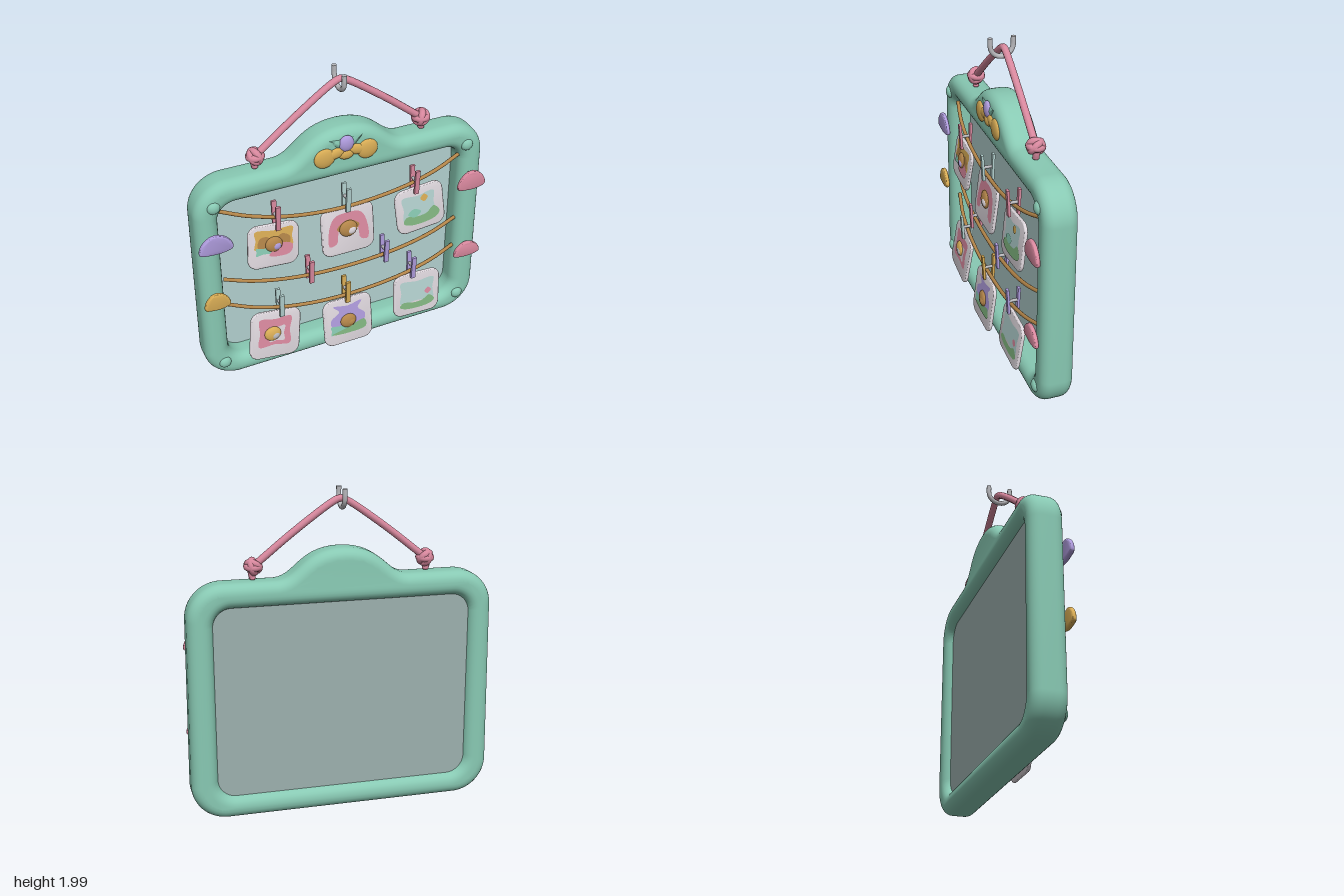
import * as THREE from 'three';
import { toCreasedNormals } from 'three/addons/utils/BufferGeometryUtils.js';

const paint = (name, color) => {
  const m = new THREE.MeshStandardMaterial({ color });
  m.name = name;
  return m;
};
const M = {
  mint: paint('mint', 0x88c9b3), panel: paint('pale aqua', 0xb2d0ce), back: paint('grey aqua', 0x9db0ae),
  pink: paint('pink', 0xd8889e), mustard: paint('mustard', 0xd8ac55), purple: paint('purple', 0xae9bdc),
  brown: paint('brown', 0xb38549), card: paint('card white', 0xdcd5db), metal: paint('metal grey', 0xb8b8bc),
  green: paint('leaf green', 0x80b47f),
};

const v3 = (x, y, z = 0) => new THREE.Vector3(x, y, z);

function add(parent, name, geometry, material, x = 0, y = 0, z = 0) {
  const mesh = new THREE.Mesh(geometry, material);
  mesh.name = name;
  mesh.position.set(x, y, z);
  parent.add(mesh);
  return mesh;
}

function ball(parent, name, material, x, y, z, rx, ry = rx, rz = rx) {
  const mesh = add(parent, name, new THREE.SphereGeometry(1, 24, 16), material, x, y, z);
  mesh.scale.set(rx, ry, rz);
  return mesh;
}

function tube(parent, name, material, points, radius, segments = 48) {
  const path = new THREE.CatmullRomCurve3(points);
  return add(parent, name, new THREE.TubeGeometry(path, segments, radius, 10), material);
}

function roundedRect(target, x0, y0, x1, y1, r) {
  target.moveTo(x0 + r, y0).lineTo(x1 - r, y0);
  target.absarc(x1 - r, y0 + r, r, -Math.PI / 2, 0);
  target.absarc(x1 - r, y1 - r, r, 0, Math.PI / 2);
  target.absarc(x0 + r, y1 - r, r, Math.PI / 2, Math.PI);
  target.absarc(x0 + r, y0 + r, r, Math.PI, Math.PI * 1.5);
  return target;
}

// Closed smooth outline through a few [x, y] points
function blob(points) {
  const curve = new THREE.CatmullRomCurve3(points.map(([x, y]) => v3(x, y)), true);
  return new THREE.Shape(curve.getPoints(40).slice(0, -1).map(p => new THREE.Vector2(p.x, p.y)));
}

// Rounded solid of the outline, centred on z = 0, never larger than the outline
function pillow(shape, thickness, bevel, bevelIn = bevel) {
  const g = new THREE.ExtrudeGeometry(shape, {
    depth: thickness - 2 * bevel, bevelThickness: bevel, bevelSize: bevelIn,
    bevelOffset: -bevelIn, bevelSegments: 6, curveSegments: 14,
  });
  g.translate(0, 0, bevel - thickness / 2);
  return toCreasedNormals(g, 0.7);
}

function buildFrame(root) {
  // Outer outline with a domed crown on the top edge
  const s = new THREE.Shape();
  const r = 0.22;
  s.moveTo(-0.72, 0.015).lineTo(0.72, 0.015);
  s.absarc(0.95 - r, 0.015 + r, r, -Math.PI / 2, 0);
  s.absarc(0.94 - r, 1.48 - r, r, 0, Math.PI / 2);
  s.lineTo(0.4, 1.48);
  s.bezierCurveTo(0.27, 1.49, 0.25, 1.655, 0, 1.657);
  s.bezierCurveTo(-0.25, 1.655, -0.27, 1.49, -0.4, 1.48);
  s.absarc(r - 0.94, 1.48 - r, r, Math.PI / 2, Math.PI);
  s.absarc(r - 0.95, 0.015 + r, r, Math.PI, Math.PI * 1.5);
  s.holes.push(roundedRect(new THREE.Path(), -0.795, 0.155, 0.785, 1.33, 0.11));
  add(root, 'frame', pillow(s, 0.205, 0.065), M.mint, 0, 0, -0.0275);

  // Board, with its own colour on each side
  const board = new THREE.PlaneGeometry(1.62, 1.22);
  add(root, 'boardFront', board, M.panel, 0, 0.745, -0.06);
  add(root, 'boardBack', board, M.back, 0, 0.745, -0.085).rotation.y = Math.PI;

  for (const [x, y] of [[-0.825, 1.34], [0.815, 1.34], [-0.835, 0.15], [0.825, 0.15]])
    ball(root, 'cornerStud', M.mint, x, y, 0.068, 0.04, 0.04, 0.027);

  // Flat-bottomed buttons on the side rails
  const half = [[-0.5, -0.35], [-0.45, 0.1], [-0.15, 0.5], [0.15, 0.48], [0.43, 0.12], [0.5, -0.3], [0.2, -0.47], [-0.2, -0.47]];
  for (const [mat, x, y, w, h] of [
    [M.purple, -0.84, 1.11, 0.205, 0.13], [M.mustard, -0.86, 0.69, 0.16, 0.12],
    [M.pink, 0.845, 1.09, 0.19, 0.135], [M.pink, 0.85, 0.545, 0.185, 0.115]])
    add(root, 'railButton', pillow(blob(half.map(([a, b]) => [a * w, b * h])), 0.028, 0.012), mat, x, y, 0.11);
}

function buildBow(root) {
  const bow = new THREE.Group();
  bow.name = 'crownBow';
  bow.position.set(-0.005, 1.5, 0.077);
  root.add(bow);
  for (const side of [-1, 1]) {
    ball(bow, 'bowLoop', M.mustard, side * 0.137, -0.005, 0, 0.066, 0.064, 0.02);
    ball(bow, 'bowArm', M.mustard, side * 0.065, 0.012, 0, 0.07, 0.034, 0.017).rotation.z = side * -0.25;
    const leaf = add(bow, 'bowLeaf', new THREE.ConeGeometry(0.032, 0.08, 4), M.mint, side * 0.07, 0.085, 0);
    leaf.rotation.z = side * -1.1;
    leaf.scale.z = 0.4;
  }
  ball(bow, 'bowMiddle', M.mustard, 0, -0.005, 0, 0.05, 0.036, 0.02);
  ball(bow, 'bowBead', M.purple, 0, 0.066, 0.003, 0.047, 0.053, 0.022);
}

function buildHanger(root) {
  const z = -0.02;
  tube(root, 'hangingCord', M.pink, [v3(-0.53, 1.56, z), v3(-0.27, 1.765, z), v3(-0.04, 1.925, z),
    v3(0, 1.94, z), v3(0.04, 1.925, z), v3(0.27, 1.765, z), v3(0.53, 1.56, z)], 0.022, 64);
  // Knots made from crossing loops of cord with a short tail
  for (const side of [-1, 1]) {
    const knot = new THREE.Group();
    knot.name = 'cordKnot';
    knot.position.set(side * 0.53, 1.56, z);
    root.add(knot);
    for (const [rx, ry] of [[1.45, 0], [0.5, side * 1.1], [2.3, side * 0.5]])
      add(knot, 'knotLoop', new THREE.TorusGeometry(0.036, 0.022, 10, 24), M.pink).rotation.set(rx, ry, 0);
    ball(knot, 'knotCore', M.pink, 0, 0, 0, 0.04);
    tube(knot, 'knotTail', M.pink, [v3(0, 0, 0), v3(side * 0.012, -0.03, 0), v3(side * 0.005, -0.07, 0)], 0.02, 8);
    ball(knot, 'tailEnd', M.pink, side * 0.005, -0.07, 0, 0.02, 0.01, 0.02);
  }
  // U-shaped hook, open at the top
  const arc = [v3(-0.01, 1.99, 0.06)];
  for (let i = 0; i <= 8; i++) {
    const a = (i / 8) * Math.PI;
    arc.push(v3(-0.01, 1.955 - 0.07 * Math.sin(a), -0.01 + 0.07 * Math.cos(a)));
  }
  arc.push(v3(-0.01, 1.99, -0.08));
  tube(root, 'hook', M.metal, arc, 0.015);
  for (const hz of [0.06, -0.08])
    add(root, 'hookEnd', new THREE.CylinderGeometry(0.015, 0.015, 0.02, 10), M.metal, -0.01, 1.99, hz);
}

function buildStrings(root) {
  for (const [left, mid, right] of [[1.28, 1.115, 1.255], [0.775, 0.655, 0.765], [0.58, 0.42, 0.54]]) {
    const pts = [];
    for (let i = -5; i <= 5; i++) {
      const t = i / 5;
      pts.push(v3(t * 0.79, mid + ((t < 0 ? left : right) - mid) * t * t, 0.075 - 0.05 * t ** 4));
    }
    tube(root, 'string', M.brown, pts, 0.012);
  }
}

function clip(root, mat, x, y) {
  const g = new THREE.Group();
  g.name = 'clip';
  g.position.set(x, y, 0.08);
  root.add(g);
  for (const side of [-1, 1])
    add(g, 'clipJaw', new THREE.BoxGeometry(0.03, 0.17, 0.016), mat, 0, 0, side * 0.032).rotation.x = side * 0.05;
  add(g, 'clipSpring', new THREE.CylinderGeometry(0.01, 0.01, 0.06, 10), M.metal).rotation.x = Math.PI / 2;
}

// A padded card with layered paint patches and an optional two-colour dome
function card(root, x, y, z, w, h, turn, patches, dome) {
  const g = new THREE.Group();
  g.name = 'pictureCard';
  g.position.set(x, y, z);
  g.rotation.set(-0.13, 0, turn);
  root.add(g);
  add(g, 'cardBody', pillow(roundedRect(new THREE.Shape(), -w / 2, -h / 2, w / 2, h / 2, 0.065), 0.022, 0.01), M.card);
  patches.forEach(([mat, pts], i) =>
    add(g, 'paintPatch', new THREE.ShapeGeometry(blob(pts)), mat, 0, 0, 0.0125 + i * 0.0015));
  if (!dome) return;
  const [mat, accent, dx, dy, r] = dome;
  ball(g, 'dome', mat, dx, dy, 0.012, r, r * 0.92, 0.022);
  ball(g, 'domeAccent', accent, dx + r * 0.25, dy - r * 0.15, 0.02, r * 0.55, r * 0.5, 0.017);
}

const box = (x0, y0, x1, y1) => [[x0, y0], [(x0 + x1) / 2, y0 + 0.006], [x1, y0], [x1 - 0.005, (y0 + y1) / 2],
  [x1, y1], [(x0 + x1) / 2, y1 - 0.006], [x0, y1], [x0 + 0.005, (y0 + y1) / 2]];

function buildCards(root) {
  const hill = [[-0.125, -0.07], [-0.1, -0.035], [-0.03, -0.05], [0.04, -0.045], [0.09, -0.01], [0.13, -0.06], [0.1, -0.095], [-0.08, -0.1]];
  const dot = (x, y, r) => [[x - r, y], [x, y + r], [x + r, y], [x, y - r]];
  card(root, -0.485, 0.985, 0.088, 0.325, 0.29, -0.08, [
    [M.mustard, box(-0.12, -0.01, 0.12, 0.11)],
    [M.brown, [[-0.1, 0.0], [-0.09, 0.06], [-0.05, 0.07], [0, 0.045], [0.05, 0.075], [0.1, 0.05], [0.1, 0], [0, -0.02]]],
    [M.mint, box(-0.115, -0.05, -0.01, 0.0)],
    [M.pink, [[-0.03, -0.06], [0.1, -0.065], [0.12, -0.01], [0.06, 0.015], [0, -0.02]]],
  ], [M.brown, M.purple, 0, 0.012, 0.055]);
  card(root, 0, 0.955, 0.088, 0.35, 0.33, 0, [
    [M.pink, [[-0.13, -0.09], [-0.12, 0.05], [-0.08, 0.11], [0, 0.12], [0.08, 0.11], [0.12, 0.05], [0.13, -0.09],
      [0.08, -0.08], [0.06, 0.01], [0, 0.03], [-0.06, 0.01], [-0.08, -0.08]]],
    [M.brown, [[-0.075, 0.02], [0, 0.07], [0.075, 0.02], [0, -0.03]]],
  ], [M.brown, M.card, 0, 0.01, 0.06]);
  card(root, 0.495, 0.97, 0.088, 0.335, 0.31, 0.08, [
    [M.panel, box(-0.12, -0.06, 0.1, 0.1)], [M.green, hill],
    [M.mint, [[-0.09, -0.02], [-0.05, 0.01], [0.0, -0.02], [-0.04, -0.05]]],
    [M.mustard, dot(0.03, 0.07, 0.026)],
  ]);
  card(root, -0.505, 0.295, 0.1, 0.335, 0.345, -0.12, [
    [M.pink, box(-0.11, -0.08, 0.1, 0.12)], [M.card, box(-0.04, -0.05, 0.06, 0.06)],
  ], [M.mustard, M.metal, -0.02, 0.01, 0.055]);
  card(root, -0.005, 0.235, 0.106, 0.34, 0.345, 0, [
    [M.purple, [[-0.1, 0.13], [0, 0.115], [0.1, 0.13], [0.07, 0.08], [0.12, 0.02], [0.1, -0.04], [0, -0.03], [-0.11, -0.03], [-0.12, 0.03], [-0.06, 0.08]]],
    [M.mint, box(-0.125, -0.085, 0, -0.02)],
    [M.green, [[-0.12, -0.08], [0, -0.05], [0.11, -0.02], [0.12, -0.08], [0, -0.095]]],
  ], [M.brown, M.brown, 0, 0.0, 0.055]);
  card(root, 0.495, 0.285, 0.1, 0.335, 0.32, 0.04 - 0.08, [
    [M.panel, box(-0.12, -0.06, 0.12, 0.1)],
    [M.green, hill.map(([x, y]) => [x, y * 0.8 - 0.025])],
    [M.pink, dot(0.08, 0.005, 0.024)],
  ]);
}

export function createModel() {
  const root = new THREE.Group();
  root.name = 'hangingPictureBoard';
  buildFrame(root);
  buildBow(root);
  buildHanger(root);
  buildStrings(root);
  buildCards(root);
  for (const [mat, x, y] of [
    [M.pink, -0.455, 1.185], [M.panel, -0.005, 1.185], [M.pink, 0.455, 1.185],
    [M.pink, -0.25, 0.715], [M.purple, 0.26, 0.715],
    [M.panel, -0.455, 0.515], [M.mustard, -0.005, 0.47], [M.purple, 0.46, 0.515]])
    clip(root, mat, x, y);
  return root;
}
